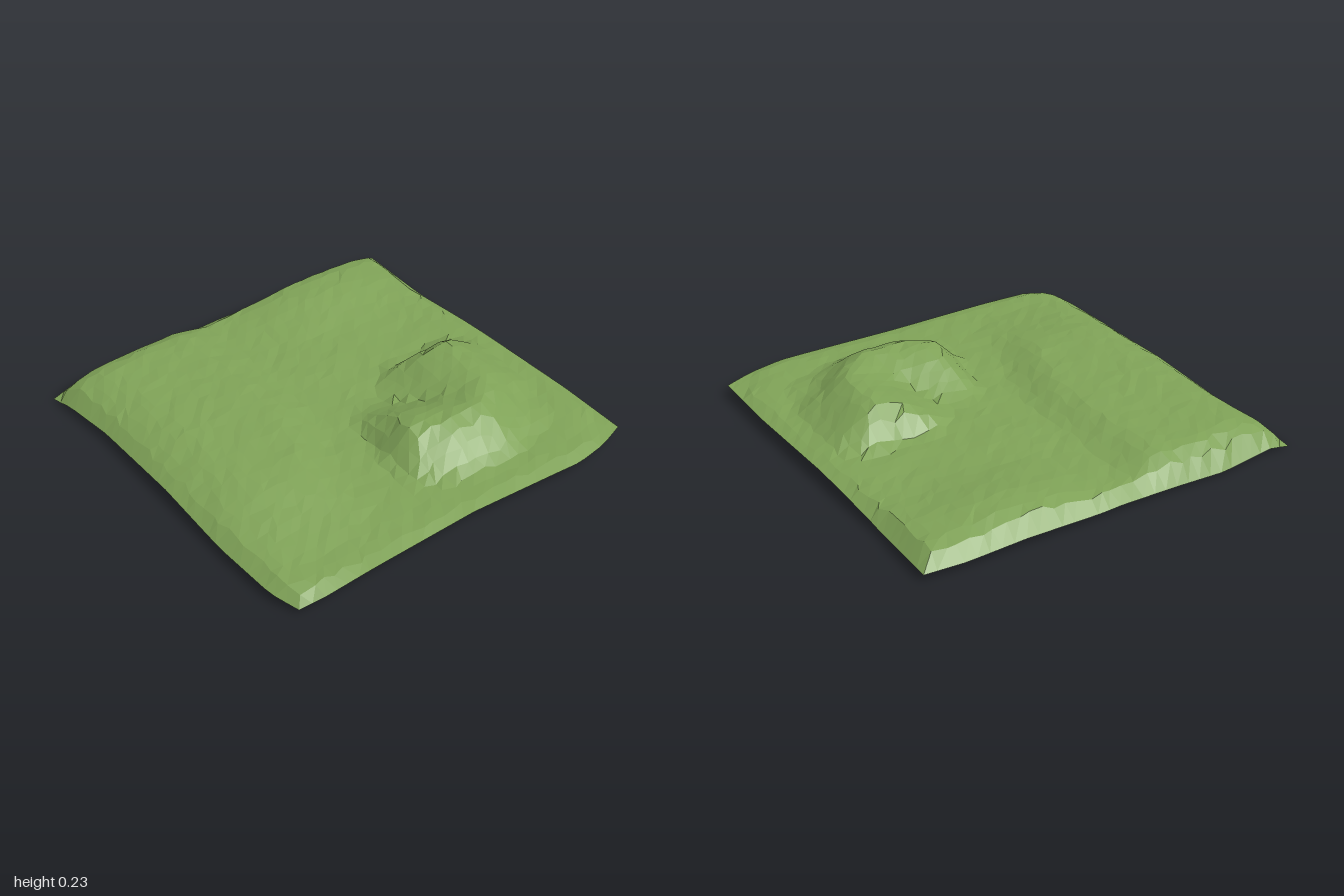
import * as THREE from 'three';

const N = 32; // grid cells per side

// Piecewise-linear lookup through [position, value] pairs
function along(pairs, t) {
  if (t <= pairs[0][0]) return pairs[0][1];
  for (let i = 1; i < pairs.length; i++) {
    const [a, va] = pairs[i - 1], [b, vb] = pairs[i];
    if (t <= b) return va + (vb - va) * (t - a) / (b - a);
  }
  return pairs[pairs.length - 1][1];
}

// Wavy outline of the patch
const LEFT = [[-1, -0.985], [-0.55, -0.955], [0, -0.97], [0.5, -0.99], [0.85, -0.985], [1, -0.94]];
const RIGHT = [[-1, 0.985], [-0.5, 0.965], [0, 0.965], [0.6, 0.97], [1, 0.955]];
const BACK = [[-1, -0.965], [-0.56, -1], [-0.3, -0.99], [0.8, -0.985], [1, -0.96]];
const FRONT = [[-1, 0.94], [-0.88, 0.97], [0, 0.96], [0.65, 0.995], [0.84, 0.965], [1, 0.91]];

// Heights of the rim, turned down most at the back and left
const RIM_FRONT = [[-1, 0.02], [-0.88, 0.05], [-0.6, 0.06], [0, 0.065], [0.5, 0.06], [1, 0.05]];
const RIM_BACK = [[-1, 0], [-0.88, 0.03], [-0.6, 0.018], [0, 0.034], [0.1, 0.03], [0.5, 0.042], [1, 0.03]];
const RIM_RIGHT = [[-1, 0.03], [-0.55, 0.028], [-0.2, 0.05], [0, 0.056], [1, 0.05]];
const RIM_LEFT = [[-1, 0], [-0.85, 0.03], [0, 0.055], [0.4, 0.036], [0.85, 0.034], [1, 0.02]];

// Crest of the curved hill, hollow towards the back left
const CREST = [[0.09, 0.48], [0.2, 0.53], [0.38, 0.53], [0.5, 0.46], [0.57, 0.34], [0.59, 0.1]];

function crestDistance(x, z) {
  let best = 9;
  for (let i = 1; i < CREST.length; i++) {
    const [ax, az] = CREST[i - 1], dx = CREST[i][0] - ax, dz = CREST[i][1] - az;
    const t = THREE.MathUtils.clamp(((x - ax) * dx + (z - az) * dz) / (dx * dx + dz * dz), 0, 1);
    best = Math.min(best, Math.hypot(x - ax - dx * t, z - az - dz * t));
  }
  return best;
}

const smooth = (v, a, b) => THREE.MathUtils.smoothstep(v, a, b);
const bump = (x, z, cx, cz, rx, rz) => Math.exp(-(((x - cx) / rx) ** 2) - ((z - cz) / rz) ** 2);

function groundHeight(x, z) {
  let y = 0.077 + 0.003 * Math.sin(7 * x + 2 * z) * Math.sin(6 * z - 3 * x + 1);
  // long low plateau on the left, narrowing to the front
  const inner = -0.08 - 0.17 * smooth(z, -0.2, 0.5);
  const plateau = smooth(x, -1.02, -0.7) * (1 - smooth(x, inner - 0.24, inner))
    * smooth(z, -1.1, -0.8) * (1 - smooth(z, 0.2, 0.82));
  y += 0.068 * plateau;
  // rise at the back right and a faint swell behind the hill
  y += 0.054 * bump(x, z, 0.52, -0.78, 0.42, 0.27) + 0.012 * bump(x, z, 0.2, -0.28, 0.25, 0.18);
  // curved hill: steep outside, long concave slope inside
  const inside = 1 - smooth(Math.hypot(x - 0.25, z - 0.17), 0.2, 0.38);
  const reach = 0.22 + 0.09 * smooth(x, 0.55, 0.8) + 0.07 * smooth(z, 0.5, 0.7)
    - 0.03 * (1 - smooth(z, -0.1, 0.1)) + 0.2 * inside;
  y += 0.153 * (1 - smooth(crestDistance(x, z), 0.015, reach));
  // pinch near the front corner
  return y - 0.035 * bump(x, z, 0.87, 0.87, 0.05, 0.05);
}

function createGround() {
  let seed = 7;
  const rand = () => {
    seed = (seed * 16807) % 2147483647;
    return seed / 2147483647 - 0.5;
  };
  const geo = new THREE.PlaneGeometry(2, 2, N, N).rotateX(-Math.PI / 2);
  const pos = geo.attributes.position;
  for (let i = 0; i < pos.count; i++) {
    let u = pos.getX(i), v = pos.getZ(i);
    const edge = Math.max(Math.abs(u), Math.abs(v)) > 0.999;
    const jx = rand(), jz = rand(), jy = rand();
    if (!edge) {
      u += jx * 0.03;
      v += jz * 0.03;
    }
    const x = THREE.MathUtils.lerp(along(LEFT, v), along(RIGHT, v), (u + 1) / 2);
    const z = THREE.MathUtils.lerp(along(BACK, u), along(FRONT, u), (v + 1) / 2);
    let y = groundHeight(x, z) + jy * 0.006;
    // turn the border down to the rim
    const sides = [[1 + u, along(RIM_LEFT, v)], [1 - u, along(RIM_RIGHT, v)],
      [1 + v, along(RIM_BACK, u)], [1 - v, along(RIM_FRONT, u)]];
    for (const [d, rim] of sides) {
      const t = Math.min(1, Math.max(0, d) / 0.08);
      y = Math.min(y, THREE.MathUtils.lerp(rim, y, Math.sqrt(t)));
    }
    pos.setXYZ(i, x, Math.max(0, y), z);
  }
  const flat = geo.toNonIndexed();
  flat.computeVertexNormals();
  return flat;
}

export function createModel() {
  const group = new THREE.Group();
  group.name = 'terrain';
  const material = new THREE.MeshStandardMaterial({ color: 0x7fa257, flatShading: true, side: THREE.DoubleSide });
  const ground = new THREE.Mesh(createGround(), material);
  ground.name = 'grassGround';
  group.add(ground);
  return group;
}
